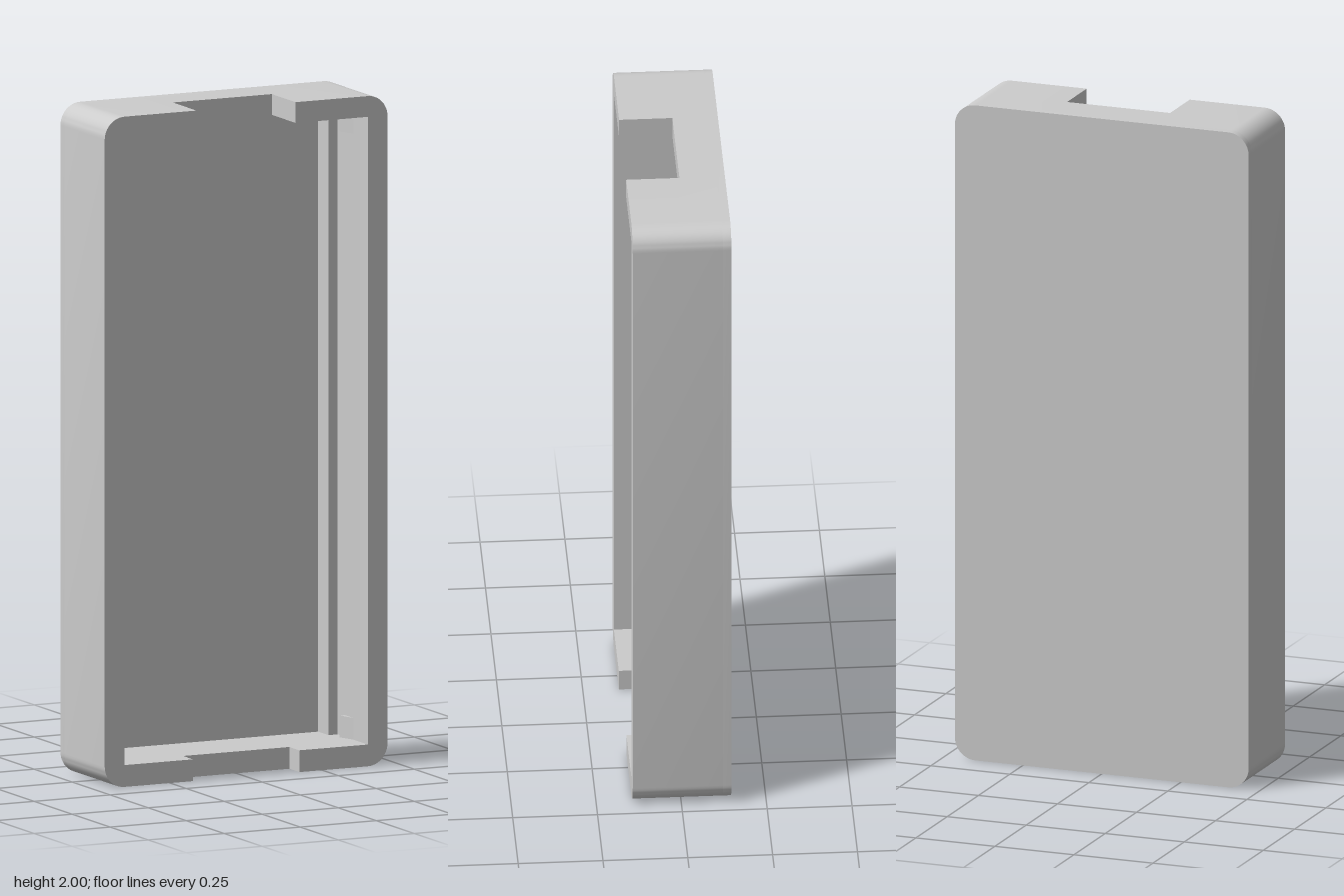
import * as THREE from 'three';
import { toCreasedNormals } from 'three/addons/utils/BufferGeometryUtils.js';

const W = 0.465, H = 2, R = 0.065;            // outer half width, height, corner radius
const IN = 0.4, Y0 = 0.065, Y1 = 1.938;       // cavity half width, bottom and top
const BACK = -0.147, FLOOR = -0.122, FRONT = 0.144;
const TOP_NOTCH = { x: 0.163, z: -0.013 }, BOTTOM_NOTCH = { x: 0.175, z: 0.079 };

const material = new THREE.MeshStandardMaterial({ color: 0xcccccc });

// Points of a rounded corner on the +x side, from angle a over a quarter turn
function corner(cy, a) {
  const pts = [];
  for (let i = 0; i <= 12; i++) {
    const t = a + (i / 12) * Math.PI / 2;
    pts.push([W - R + R * Math.cos(t), cy + R * Math.sin(t)]);
  }
  return pts;
}

// Extrude an outline along z between two depths
function slab(points, z0, z1) {
  const shape = new THREE.Shape(points.map(([x, y]) => new THREE.Vector2(x, y)));
  const geo = new THREE.ExtrudeGeometry(shape, { depth: z1 - z0, bevelEnabled: false });
  geo.translate(0, 0, z0);
  return toCreasedNormals(geo, 0.5);
}

function box(x0, x1, y0, y1, z0, z1) {
  const geo = new THREE.BoxGeometry(x1 - x0, y1 - y0, z1 - z0);
  return geo.translate((x0 + x1) / 2, (y0 + y1) / 2, (z0 + z1) / 2);
}

export function createModel() {
  const group = new THREE.Group();
  const add = (name, geo) => {
    const mesh = new THREE.Mesh(geo, material);
    mesh.name = name;
    group.add(mesh);
  };

  const rightEdge = [...corner(R, -Math.PI / 2), ...corner(H - R, 0)];
  const flip = (pts, s) => pts.map(([x, y]) => [x * s, y]);

  // Back plate
  add('backPlate', slab([...rightEdge, ...flip(rightEdge, -1).reverse()], BACK, FLOOR));

  // Wall sections that bridge below the two notches
  add('topWallBelowNotch', box(-TOP_NOTCH.x, TOP_NOTCH.x, Y1, H, FLOOR, TOP_NOTCH.z));
  add('bottomWallBelowNotch', box(-BOTTOM_NOTCH.x, BOTTOM_NOTCH.x, 0, Y0, FLOOR, BOTTOM_NOTCH.z));

  // C-shaped wall halves, ending at the notches
  const halfWall = [
    [BOTTOM_NOTCH.x, 0], ...rightEdge, [TOP_NOTCH.x, H],
    [TOP_NOTCH.x, Y1], [IN, Y1], [IN, Y0], [BOTTOM_NOTCH.x, Y0],
  ];

  for (const [side, s] of [['left', 1], ['right', -1]]) {
    add(side + 'Wall', slab(flip(halfWall, s), FLOOR, FRONT));

    // Support rail along the cavity floor
    const xs = [0.37 * s, IN * s].sort((a, b) => a - b);
    add(side + 'Rail', box(xs[0], xs[1], Y0, Y1, FLOOR, -0.054));

    // Wedge-shaped snap clips: sloped to the front, flat to the back
    for (const [end, y] of [['Bottom', Y0], ['Top', Y1 - 0.065]]) {
      const wedge = new THREE.Shape([
        new THREE.Vector2(IN * s, 0.005),
        new THREE.Vector2(0.382 * s, 0.005),
        new THREE.Vector2(IN * s, -0.05),
      ]);
      const geo = new THREE.ExtrudeGeometry(wedge, { depth: 0.065, bevelEnabled: false });
      geo.rotateX(-Math.PI / 2);
      geo.translate(0, y, 0);
      add(side + end + 'Clip', geo);
    }
  }
  return group;
}
